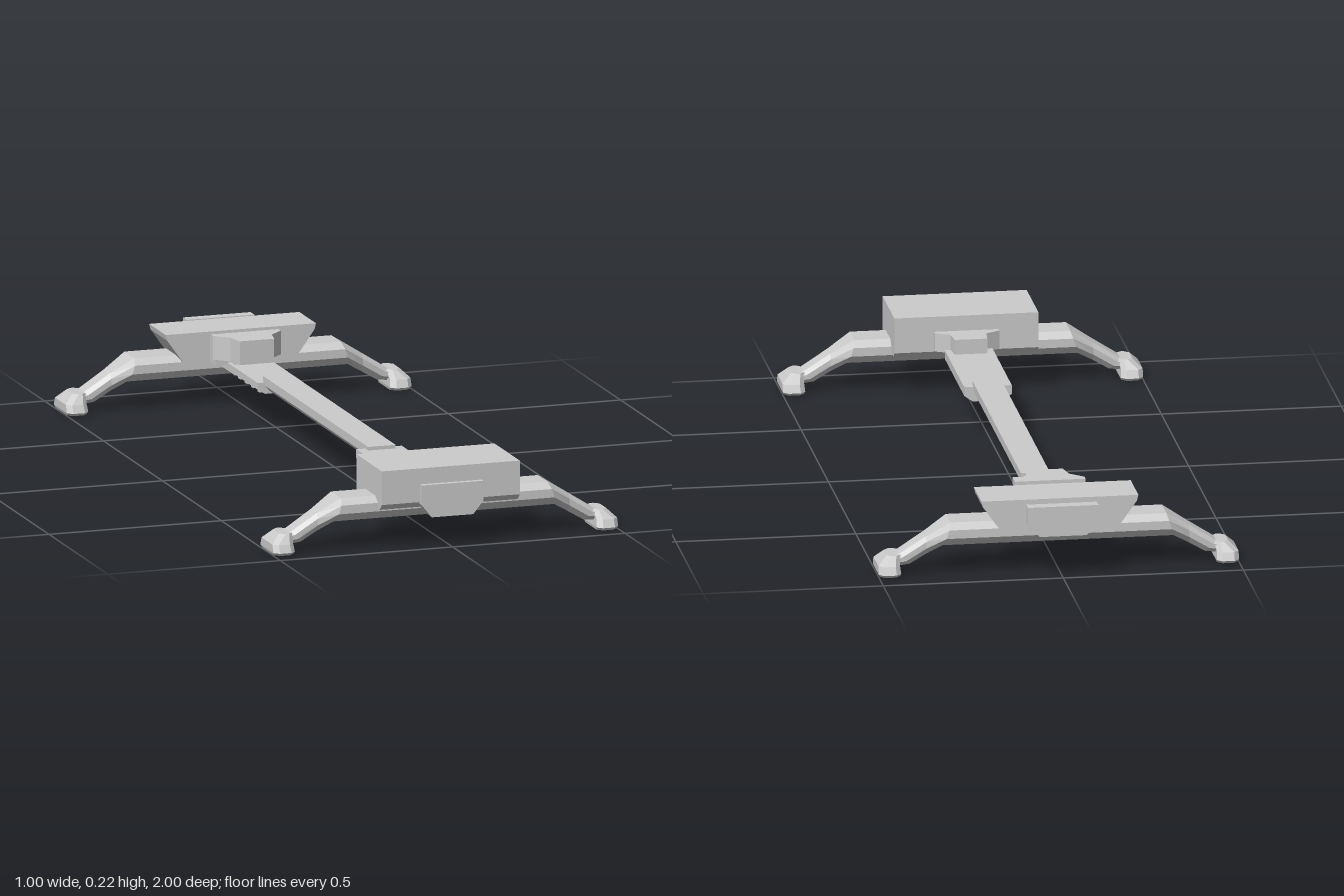
import * as THREE from 'three';

const material = new THREE.MeshStandardMaterial({ color: 0xcccccc, flatShading: true });

function add(parent, name, geometry) {
  const mesh = new THREE.Mesh(geometry, material);
  mesh.name = name;
  parent.add(mesh);
  return mesh;
}

function box(parent, name, w, y0, y1, z0, z1) {
  const g = new THREE.BoxGeometry(w, y1 - y0, z1 - z0);
  return add(parent, name, g.translate(0, (y0 + y1) / 2, (z0 + z1) / 2));
}

// Flat-sided prism from a 2D outline, spanning a..b along the extrusion
function prism(points, a, b) {
  const shape = new THREE.Shape(points.map(([x, y]) => new THREE.Vector2(x, y)));
  return new THREE.ExtrudeGeometry(shape, { depth: b - a, bevelEnabled: false }).translate(0, 0, a);
}

// Mirrors a half outline across x = 0
const mirrored = (half) => [...half, ...half.map(([x, y]) => [-x, y]).reverse()];

// Outline in (x, -z), raised from y0 to y1
const planPrism = (points, y0, y1) => prism(points, y0, y1).rotateX(-Math.PI / 2);

// Skin over matching rings of points, with capped ends facing outwards
function loft(rings) {
  const tris = [];
  const n = rings[0].length;
  for (let i = 0; i < rings.length - 1; i++) {
    for (let j = 0; j < n; j++) {
      const k = (j + 1) % n;
      const [a, b, c, d] = [rings[i][j], rings[i][k], rings[i + 1][k], rings[i + 1][j]];
      tris.push([a, b, c], [a, c, d]);
    }
  }
  const last = rings[rings.length - 1];
  for (let j = 1; j < n - 1; j++) {
    tris.push([rings[0][0], rings[0][j + 1], rings[0][j]], [last[0], last[j], last[j + 1]]);
  }
  const v = (p) => new THREE.Vector3(...p);
  const volume = tris.reduce((s, [a, b, c]) => s + v(a).dot(v(b).cross(v(c))), 0);
  const positions = tris.flatMap(([a, b, c]) => (volume > 0 ? [a, b, c] : [a, c, b])).flat();
  const g = new THREE.BufferGeometry();
  g.setAttribute('position', new THREE.Float32BufferAttribute(positions, 3));
  g.computeVertexNormals();
  return g;
}

// Chamfered bar section: top point, bottom point, half width
function barRing([xt, yt, xb, yb, w]) {
  const at = (t, z) => [xb + (xt - xb) * t, yb + (yt - yb) * t, z * w];
  return [at(0, -0.6), at(0.38, -1), at(0.75, -1), at(1, -0.65),
    at(1, 0.65), at(0.75, 1), at(0.38, 1), at(0, 0.6)];
}

// Foot section: a rectangle with clipped corners
function footRing([x0, x1, y, w]) {
  const c = 0.014;
  return [[x0, y, -w + c], [x0 + c, y, -w], [x1 - c, y, -w], [x1, y, -w + c],
    [x1, y, w - c], [x1 - c, y, w], [x0 + c, y, w], [x0, y, w - c]];
}

// Cross bar with two bent legs and flared feet
function makeStand(name, z) {
  const stand = new THREE.Group();
  stand.name = name;
  stand.position.z = z;
  const side = [
    [0.3, 0.145, 0.32, 0.08, 0.064],
    [0.365, 0.104, 0.365, 0.053, 0.039],
    [0.44, 0.056, 0.41, 0.026, 0.036],
    [0.47, 0.053, 0.46, 0.02, 0.036],
  ];
  const mirror = ([a, b, c, d, w]) => [-a, b, -c, d, w];
  const stations = [...side.map(mirror).reverse(), ...side];
  add(stand, 'crossBarAndLegs', loft(stations.map(barRing)));
  for (const s of [1, -1]) {
    const rings = [
      [0.44, 0.497, 0, 0.062],
      [0.438, 0.5, 0.008, 0.07],
      [0.44, 0.5, 0.03, 0.06],
      [0.435, 0.474, 0.055, 0.04],
    ].map((r) => footRing(r).map(([x, y, zz]) => [s * x, y, zz]));
    add(stand, s > 0 ? 'leftFoot' : 'rightFoot', loft(rings));
  }
  return stand;
}

// Rail section with a chamfered underside
function rail(parent, name, w, y0, y1, z0, z1) {
  const h = y1 - y0;
  const half = [[w, y1], [w, y0 + h * 0.4], [w * 0.65, y0]];
  add(parent, name, prism(mirrored(half), z0, z1));
}

export function createModel() {
  const model = new THREE.Group();
  model.name = 'railStand';
  model.add(makeStand('frontStand', 0.887), makeStand('rearStand', -0.866));

  // Telescoping centre rail
  rail(model, 'centreRail', 0.04, 0.11, 0.15, -0.49, 0.4);
  rail(model, 'frontSleeve', 0.066, 0.098, 0.14, 0.375, 0.73);
  rail(model, 'rearSleeve', 0.061, 0.103, 0.135, -0.73, -0.475);
  box(model, 'frontNeck', 0.1, 0.1, 0.138, 0.71, 0.86);
  box(model, 'rearNeck', 0.1, 0.105, 0.134, -0.84, -0.7);
  for (let i = 0; i < 4; i++) {
    const f = 0.47 + i * 0.065;
    const r = -0.53 - i * 0.055;
    box(model, 'frontGripRib', 0.085, 0.089, 0.105, f - 0.01, f + 0.01);
    box(model, 'rearGripRib', 0.08, 0.096, 0.11, r - 0.009, r + 0.009);
  }

  // Front housing, chamfered along its lower edges
  const profile = [[0.985, 0.225], [0.77, 0.225], [0.77, 0.125], [0.785, 0.112],
    [0.965, 0.112], [0.985, 0.13]];
  add(model, 'frontHousing', prism(profile, -0.2, 0.2).rotateY(-Math.PI / 2));
  add(model, 'frontPlate',
    prism(mirrored([[0.09, 0.18], [0.09, 0.125], [0.06, 0.088]]), 0.95, 1));

  // Front housing lug above the sleeve
  add(model, 'frontLug',
    planPrism(mirrored([[0.09, -0.78], [0.09, -0.755], [0.05, -0.735], [0.045, -0.685]]), 0.13, 0.182));

  // Rear housing, flaring towards its top
  add(model, 'rearHousing',
    prism(mirrored([[0.218, 0.21], [0.214, 0.194], [0.165, 0.125]]), -0.938, -0.797));
  box(model, 'rearPlateMount', 0.17, 0.13, 0.195, -0.97, -0.93);
  add(model, 'rearPlate',
    prism(mirrored([[0.098, 0.205], [0.098, 0.155], [0.065, 0.12]]), -1, -0.968));

  // Rear housing lug, stepped and tapering towards the rail
  box(model, 'rearLugMount', 0.18, 0.125, 0.198, -0.81, -0.75);
  add(model, 'rearLug',
    planPrism(mirrored([[0.098, 0.765], [0.098, 0.745], [0.06, 0.71], [0.05, 0.66]]), 0.143, 0.21));
  box(model, 'rearLugFoot', 0.1, 0.12, 0.15, -0.77, -0.705);

  return model;
}
